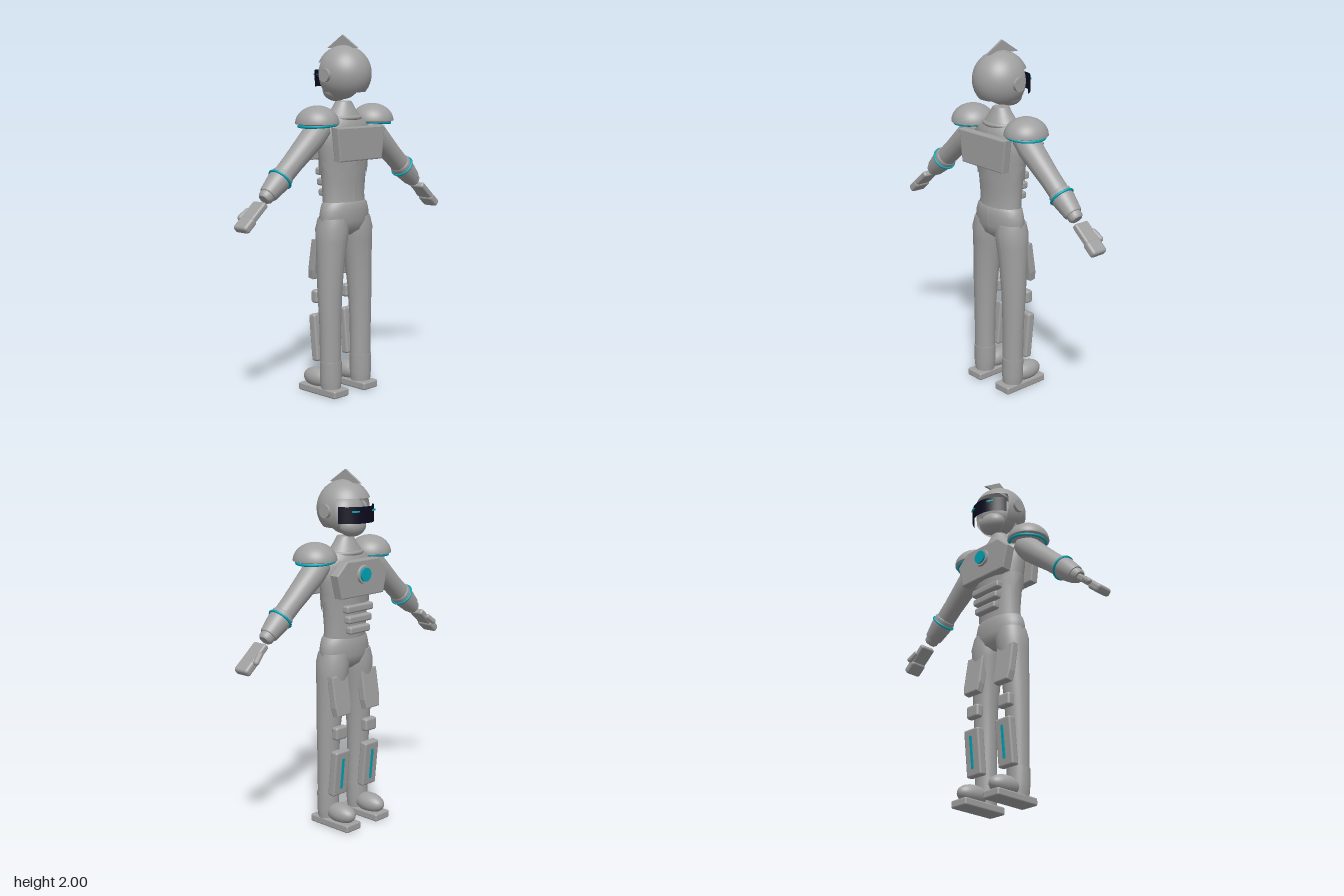
import * as THREE from 'three';
import { RoundedBoxGeometry } from 'three/addons/geometries/RoundedBoxGeometry.js';

const material = (name, color) => {
  const m = new THREE.MeshStandardMaterial({ color, side: THREE.DoubleSide });
  m.name = name;
  return m;
};

// Elliptical tube through sections listed top down: [y, centreX, halfX, centreZ, halfZ]
function loft(sections, sides = 36) {
  const n = sections.length - 1;
  const g = new THREE.CylinderGeometry(1, 1, 1, sides, n);
  const p = g.attributes.position;
  for (let i = 0; i < p.count; i++) {
    const [y, cx, hx, cz, hz] = sections[Math.round((0.5 - p.getY(i)) * n)];
    p.setXYZ(i, cx + p.getX(i) * hx, y, cz + p.getZ(i) * hz);
  }
  g.computeVertexNormals();
  return g;
}

// Bevelled plate with a symmetric outline, given by its right half from top to bottom
function plate(half, depth) {
  const pts = [...half, ...half.slice().reverse().map(([x, y]) => [-x, y])];
  const shape = new THREE.Shape(pts.map(([x, y]) => new THREE.Vector2(x, y)));
  const b = 0.007;
  const g = new THREE.ExtrudeGeometry(shape, {
    depth: depth - 2 * b, bevelThickness: b, bevelSize: b, bevelOffset: -b, bevelSegments: 2,
  });
  return g.translate(0, 0, b - depth / 2);
}

const rbox = (w, h, d, r = 0.012) => new RoundedBoxGeometry(w, h, d, 3, r);

export function createModel() {
  const root = new THREE.Group();
  root.name = 'armouredFigure';
  const grey = material('armourGrey', 0xa0a0a0);
  const teal = material('glowTeal', 0x00a3b5);
  const dark = material('visorNavy', 0x0a0a1e);

  const add = (name, geo, mat, pos = [0, 0, 0], rot = [0, 0, 0], parent = root) => {
    const m = new THREE.Mesh(geo, mat);
    m.name = name;
    m.position.set(...pos);
    m.rotation.set(...rot);
    parent.add(m);
    return m;
  };
  const ellipsoid = (name, pos, r, parent = root) => {
    add(name, new THREE.SphereGeometry(1, 36, 24), grey, pos, [0, 0, 0], parent).scale.set(...r);
  };

  // Helmet: full cap above, shell with a face opening below
  const half = 1.15, front = Math.PI * 1.5;
  const cap = add('helmetCap', new THREE.SphereGeometry(0.155, 48, 16, 0, Math.PI * 2, 0, 1.17), grey, [0, 1.79, 0.02]);
  const shell = add('helmetShell',
    new THREE.SphereGeometry(0.155, 40, 16, front + half, Math.PI * 2 - 2 * half, 1.17, 1.1), grey, [0, 1.79, 0.02]);
  cap.scale.x = shell.scale.x = 0.95;
  ellipsoid('face', [0, 1.76, 0.01], [0.11, 0.11, 0.095]);
  ellipsoid('jaw', [0, 1.7, -0.04], [0.085, 0.062, 0.065]);
  add('visor', new THREE.CylinderGeometry(0.147, 0.147, 0.09, 40, 1, true, Math.PI - half, 2 * half), dark, [0, 1.765, 0]);

  // Crest fin along the top of the helmet
  const fin = new THREE.Shape([[-0.105, 1.928], [0.125, 1.928], [0.01, 2]].map(([z, y]) => new THREE.Vector2(z, y)));
  const finGeo = new THREE.ExtrudeGeometry(fin, { depth: 0.012, bevelEnabled: false });
  add('crest', finGeo.translate(0, 0, -0.006), grey, [0, 0, 0], [0, -Math.PI / 2, 0]);

  // Neck and torso
  add('neck', loft([[1.64, 0, 0.045, 0.015, 0.045], [1.61, 0, 0.065, 0.015, 0.055], [1.57, 0, 0.095, 0.015, 0.075],
    [1.52, 0, 0.155, 0.015, 0.09]]), grey);
  const collar = add('collar', new THREE.TorusGeometry(0.1, 0.012, 10, 40), grey, [0, 1.55, 0.015], [Math.PI / 2, 0, 0]);
  collar.scale.y = 0.82;
  add('torso', loft([[1.56, 0, 0.1, 0.015, 0.075], [1.53, 0, 0.15, 0.015, 0.09], [1.49, 0, 0.185, 0.015, 0.1],
    [1.4, 0, 0.18, 0.015, 0.1], [1.3, 0, 0.157, 0.015, 0.098], [1.2, 0, 0.146, 0.015, 0.092],
    [1.13, 0, 0.141, 0.015, 0.087], [1.07, 0, 0.142, 0.02, 0.088]]), grey);

  // Jagged lower rim of the chest armour
  const rim = new THREE.CylinderGeometry(1, 0.95, 0.1, 16, 1, true);
  const rp = rim.attributes.position;
  for (let i = 17; i < 34; i++) if (i % 2) rp.setY(i, 0.01);
  rim.scale(0.17, 1, 0.108);
  rim.computeVertexNormals();
  add('chestRim', rim, grey, [0, 1.285, 0.015]);

  // Chest and back plates
  add('chestPlate', plate([[0.125, 0.1], [0.2, 0.03], [0.165, -0.1]], 0.06), grey, [0, 1.42, -0.093]);
  add('backPlate', plate([[0.19, 0.092], [0.165, -0.092]], 0.05), grey, [0, 1.412, 0.13]);
  add('emblemBezel', new THREE.CylinderGeometry(0.048, 0.052, 0.016, 32), grey, [0, 1.44, -0.128], [-Math.PI / 2, 0, 0]);
  add('emblemLight', new THREE.CylinderGeometry(0.038, 0.038, 0.02, 32), teal, [0, 1.44, -0.137], [-Math.PI / 2, 0, 0]);
  for (let i = 0; i < 3; i++) {
    add('abdomenPlate', rbox(0.21 - i * 0.025, 0.042, 0.045), grey, [0, 1.252 - i * 0.06, -0.084]);
  }

  // Pelvis
  add('pelvis', loft([[1.09, 0, 0.14, 0.022, 0.085], [1.075, 0, 0.155, 0.022, 0.093], [1.04, 0, 0.166, 0.022, 0.096],
    [0.98, 0, 0.178, 0.02, 0.096], [0.93, 0, 0.145, 0.02, 0.08], [0.9, 0, 0.06, 0.02, 0.04]]), grey);

  for (const s of [-1, 1]) {
    // Head details
    add('earDisc', new THREE.CylinderGeometry(0.037, 0.037, 0.03, 28), grey, [s * 0.145, 1.783, 0.02], [0, 0, Math.PI / 2]);
    add('eyeLight', new THREE.BoxGeometry(0.04, 0.009, 0.009), teal, [s * 0.07, 1.785, -0.132], [0, s * -0.5, 0]);

    // Shoulder dome and light ring
    ellipsoid('shoulderUnderside', [s * 0.218, 1.527, 0.03], [0.118, 0.014, 0.12]);
    const dome = new THREE.SphereGeometry(1, 40, 14, 0, Math.PI * 2, 0, Math.PI / 2);
    add('shoulderDome', dome, grey, [s * 0.218, 1.525, 0.03]).scale.set(0.118, 0.098, 0.122);
    add('shoulderRing', new THREE.TorusGeometry(0.103, 0.008, 8, 44), teal, [s * 0.214, 1.517, 0.03],
      [Math.PI / 2, s * -0.06, 0]);

    // Arm, built hanging down and then swung outwards
    const arm = new THREE.Group();
    arm.name = s > 0 ? 'leftArm' : 'rightArm';
    arm.position.set(s * 0.2, 1.49, 0.022);
    arm.rotation.z = s * 0.863;
    root.add(arm);
    const round = (list) => loft(list.map(([y, r]) => [y, 0, r, 0, r]), 32);
    add('upperArm', round([[0.04, 0.045], [0.02, 0.062], [-0.06, 0.069], [-0.16, 0.063], [-0.26, 0.057], [-0.38, 0.055]]),
      grey, [0, 0, 0], [0, 0, 0], arm);
    add('gauntlet', round([[-0.345, 0.055], [-0.352, 0.062], [-0.4, 0.062], [-0.485, 0.05], [-0.492, 0.046]]),
      grey, [0, 0, 0], [0, 0, 0], arm);
    add('wrist', round([[-0.48, 0.041], [-0.515, 0.04], [-0.528, 0.03]]), grey, [0, 0, 0], [0, 0, 0], arm);
    add('armRing', new THREE.TorusGeometry(0.064, 0.007, 8, 40), teal, [0, -0.377, 0], [Math.PI / 2, 0, 0], arm);
    add('palm', rbox(0.036, 0.125, 0.095), grey, [0, -0.615, 0], [0, 0, 0], arm);
    add('fingers', rbox(0.046, 0.085, 0.1, 0.016), grey, [s * -0.004, -0.705, 0], [0, 0, 0], arm);
    add('thumb', new THREE.CapsuleGeometry(0.016, 0.05, 6, 14), grey, [s * 0.006, -0.645, -0.052], [0.25, 0, 0], arm);

    // Leg
    add('leg', loft([[1.0, 0.088, 0.085, 0.02, 0.085], [0.94, 0.095, 0.094, 0.02, 0.094], [0.87, 0.1, 0.09, 0.02, 0.088],
      [0.78, 0.109, 0.081, 0.022, 0.079], [0.6, 0.12, 0.071, 0.026, 0.068], [0.4, 0.122, 0.063, 0.031, 0.059],
      [0.18, 0.121, 0.061, 0.033, 0.057]].map(([y, cx, ...r]) => [y, s * cx, ...r])), grey);
    add('bootCuff', loft([[0.195, 0.121, 0.064, 0.034, 0.06], [0.1, 0.121, 0.063, 0.034, 0.06], [0.06, 0.121, 0.058, 0.034, 0.058],
      [0.03, 0.121, 0.055, 0.034, 0.055]].map(([y, cx, ...r]) => [y, s * cx, ...r])), grey);
    ellipsoid('bootToe', [s * 0.12, 0.082, -0.068], [0.058, 0.056, 0.1]);
    add('sole', rbox(0.115, 0.044, 0.29, 0.01), grey, [s * 0.12, 0.022, -0.025]);

    // Leg armour
    add('thighPlate', plate([[0.062, 0.113], [0.062, -0.06], [0.052, -0.113]], 0.045), grey,
      [s * 0.117, 0.768, -0.056], [0.16, 0, 0]);
    add('kneePlate', rbox(0.09, 0.075, 0.045, 0.014), grey, [s * 0.12, 0.555, -0.058]);
    const shin = new THREE.Group();
    shin.name = 'shinGuard';
    shin.position.set(s * 0.12, 0.322, -0.052);
    shin.rotation.x = -0.1;
    root.add(shin);
    add('shinPlate', rbox(0.112, 0.265, 0.048), grey, [0, 0, 0], [0, 0, 0], shin);
    add('shinLight', new THREE.BoxGeometry(0.014, 0.18, 0.009), teal, [0, 0, -0.026], [0, 0, 0], shin);
  }
  return root;
}
